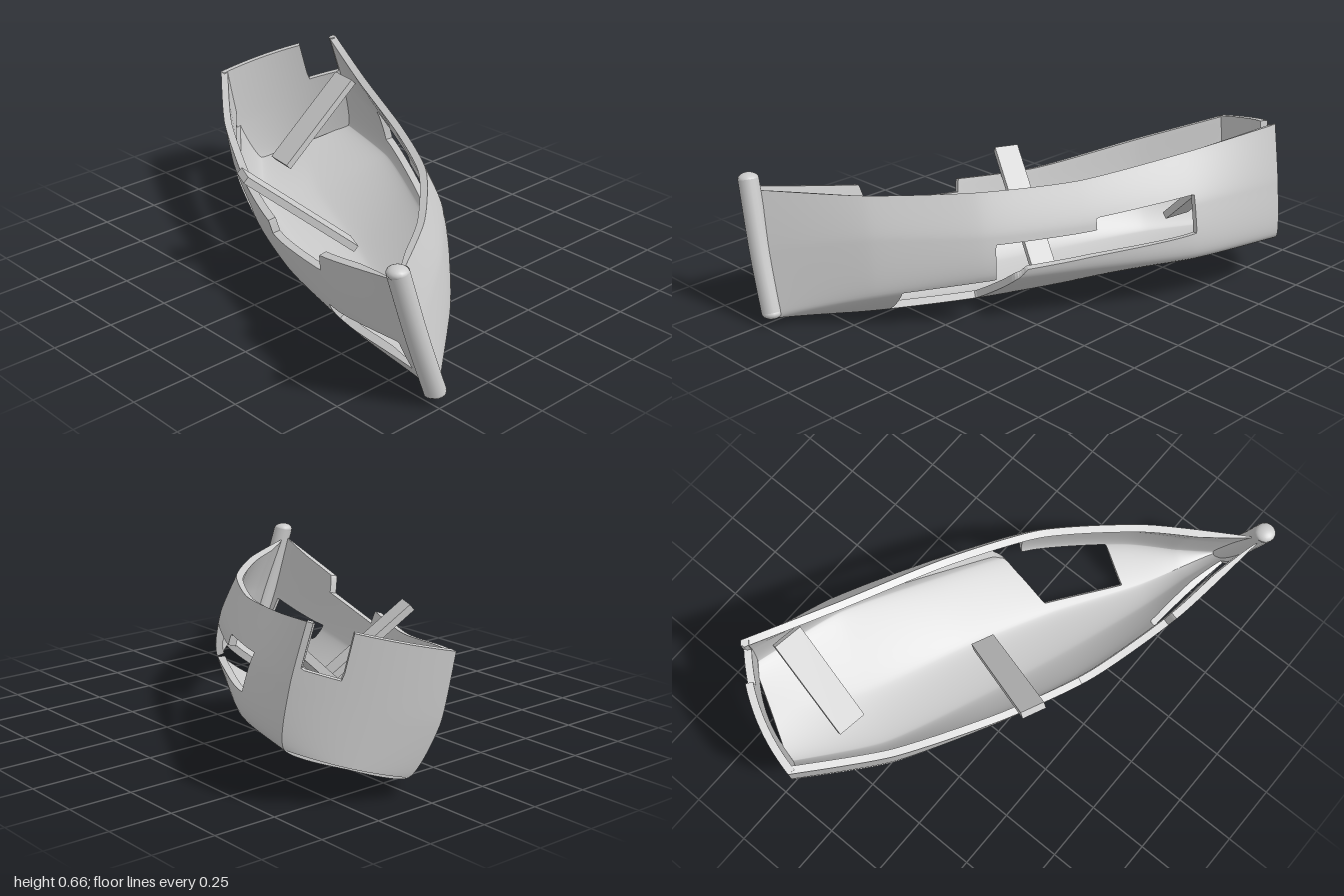
import * as THREE from 'three';

const material = new THREE.MeshStandardMaterial({ color: 0xcccccc, side: THREE.DoubleSide });

// Hull frame: s runs stern to bow, w runs across the boat, y is up
const place = (s, w, y) => new THREE.Vector3(0.87 * s - 0.49 * w, y, 0.49 * s + 0.87 * w);

// Heeled cross-sections: [w, y] from the back gunwale round the bottom to the front gunwale
const stations = [
  { s: -0.945, ring: [[-0.16, 0.66], [-0.22, 0.43], [-0.238, 0.21], [-0.02, 0.125], [0.2, 0.08], [0.31, 0.27], [0.36, 0.53]] },
  { s: -0.55, ring: [[-0.20, 0.595], [-0.30, 0.41], [-0.325, 0.2], [0, 0.06], [0.25, 0.05], [0.365, 0.2], [0.41, 0.44]] },
  { s: -0.1, ring: [[-0.245, 0.542], [-0.32, 0.38], [-0.325, 0.2], [-0.05, 0.027], [0.2, 0.035], [0.345, 0.16], [0.4, 0.36]] },
  { s: 0.3, ring: [[-0.23, 0.53], [-0.30, 0.37], [-0.31, 0.19], [-0.07, 0.012], [0.14, 0.03], [0.30, 0.16], [0.365, 0.36]] },
  { s: 0.7, ring: [[-0.11, 0.515], [-0.18, 0.36], [-0.215, 0.14], [-0.055, 0.006], [0.07, 0.03], [0.205, 0.18], [0.265, 0.42]] },
  { s: 1.08, ring: [[0.085, 0.505], [0.01, 0.29], [-0.06, 0.05], [-0.055, 0.033], [-0.005, 0.1], [0.055, 0.25], [0.12, 0.51]] },
];

// Spline through rows of numbers, t counted in rows; slack below 1 keeps it nearer to straight runs
function spline(rows, t, slack) {
  const last = rows.length - 1;
  const i = Math.min(Math.floor(t), last - 1), f = t - i;
  const a = rows[Math.max(i - 1, 0)], b = rows[i], c = rows[i + 1], d = rows[Math.min(i + 2, last)];
  const f2 = f * f, f3 = f2 * f;
  return b.map((_, k) => b[k] + (c[k] - b[k]) * (3 * f2 - 2 * f3)
    + 0.5 * slack * ((c[k] - a[k]) * (f3 - 2 * f2 + f) + (d[k] - b[k]) * (f3 - f2)));
}

const rows = stations.map(({ s, ring }) => [s, ...ring.flat()]);
const span = rows.length - 1;
function hullPoint(t, v) {
  const [s, ...flat] = spline(rows, t, 0.7);
  const ring = [];
  for (let i = 0; i < flat.length; i += 2) ring.push([flat[i], flat[i + 1]]);
  const [w, y] = spline(ring, v, 0.65);
  return place(s, w, Math.max(y, 0));
}

// Fraction of the hull's length at which s is reached
function lengthAt(s) {
  if (s < rows[0][0]) return -0.1;
  let lo = 0, hi = span;
  for (let i = 0; i < 24; i++) {
    const mid = (lo + hi) / 2;
    if (spline(rows, mid, 0.7)[0] < s) lo = mid; else hi = mid;
  }
  return lo / span;
}

// Broken openings as polygons of [s, ring position], turned into unit-square coordinates
const hullOpenings = [
  // back side, running down into the bottom
  [[-0.56, 0.78], [-0.15, 0.83], [-0.15, 1.15], [0.25, 1.2], [0.25, 1.95], [0.6, 2], [0.62, 2.85],
    [0.28, 2.8], [0.2, 2.3], [0.13, 1.75], [-0.56, 1.5]],
  // missing plank near the stern
  [[-1.2, 4.95], [-0.15, 5.05], [-0.15, 5.38], [-1.2, 5.27]],
  // missing plank near the bow
  [[0.65, 4.68], [1.035, 4.28], [1.035, 4.95], [0.65, 5.12]],
  // broken front gunwale
  [[0.25, 5.67], [0.66, 5.65], [0.71, 6.5], [0.23, 6.5]],
].map((poly) => poly.map(([s, v]) => [lengthAt(s), v / 6]));

// Notch in the transom by the back corner
const transomOpenings = [[[0.96, -0.5], [0.7, -0.5], [0.7, 0.34], [0.96, 0.34]]];

const inside = ([x, y], poly) => {
  let hit = false;
  poly.forEach(([ax, ay], i) => {
    const [bx, by] = poly[(i + 1) % poly.length];
    if ((ay > y) !== (by > y) && x < ax + ((y - ay) * (bx - ax)) / (by - ay)) hit = !hit;
  });
  return hit;
};

// Nearest point on the outlines of a set of polygons
function nearest([x, y], polys) {
  let best = Infinity, result;
  polys.forEach((poly) => poly.forEach(([ax, ay], i) => {
    const [bx, by] = poly[(i + 1) % poly.length];
    const dx = bx - ax, dy = by - ay;
    const f = THREE.MathUtils.clamp(((x - ax) * dx + (y - ay) * dy) / (dx * dx + dy * dy), 0, 1);
    const p = [ax + f * dx, ay + f * dy];
    const dist = Math.hypot(p[0] - x, p[1] - y);
    if (dist < best) { best = dist; result = p; }
  }));
  return result.map((c) => THREE.MathUtils.clamp(c, 0, 1));
}

// Thick sheet over the unit square with cut openings; every open edge is closed
function sheet(name, point, na, nb, openings, thickness) {
  const outer = [], inner = [], faces = [], rim = [];
  const id = (i, j) => i * (nb + 1) + j;
  const e = 0.002;
  const valid = (i, j) => i >= 0 && j >= 0 && i < na && j < nb;
  const kept = (i, j) => valid(i, j)
    && !openings.some((poly) => inside([(i + 0.5) / na, (j + 0.5) / nb], poly));
  for (let i = 0; i <= na; i++) {
    for (let j = 0; j <= nb; j++) {
      const around = [[i - 1, j - 1], [i, j - 1], [i - 1, j], [i, j]].filter((c) => valid(...c));
      const left = around.filter((c) => kept(...c)).length;
      // Points beside an opening slide onto its outline
      let [a, b] = [i / na, j / nb];
      if (left && left < around.length) {
        const [u, v] = nearest([a, b], openings);
        a = i % na ? u : a;
        b = j % nb ? v : b;
      }
      const p = point(a, b);
      const da = point(Math.min(a + e, 1), b).sub(point(Math.max(a - e, 0), b));
      const db = point(a, Math.min(b + e, 1)).sub(point(a, Math.max(b - e, 0)));
      outer.push(p);
      inner.push(p.clone().addScaledVector(da.cross(db).normalize(), -thickness(a)));
    }
  }
  const wall = (m, n) => rim.push(outer[m], inner[m], outer[n], outer[n], inner[m], inner[n]);
  const count = outer.length;
  for (let i = 0; i < na; i++) {
    for (let j = 0; j < nb; j++) {
      if (!kept(i, j)) continue;
      const a = id(i, j), b = id(i + 1, j), c = id(i + 1, j + 1), d = id(i, j + 1);
      faces.push(a, b, c, a, c, d);
      faces.push(count + a, count + c, count + b, count + a, count + d, count + c);
      if (!kept(i, j - 1)) wall(a, b);
      if (!kept(i + 1, j)) wall(b, c);
      if (!kept(i, j + 1)) wall(c, d);
      if (!kept(i - 1, j)) wall(d, a);
    }
  }
  const skin = new THREE.BufferGeometry().setFromPoints([...outer, ...inner]);
  skin.setIndex(faces);
  skin.computeVertexNormals();
  const edge = new THREE.BufferGeometry().setFromPoints(rim);
  edge.computeVertexNormals();
  const group = new THREE.Group();
  group.name = name;
  group.add(mesh(name + 'Skin', skin), mesh(name + 'Edges', edge));
  return group;
}

function mesh(name, geometry) {
  const m = new THREE.Mesh(geometry, material);
  m.name = name;
  return m;
}

// Flat board from one point to another, its width kept level
function board(name, from, to, width, thickness) {
  const m = mesh(name, new THREE.BoxGeometry(width, from.distanceTo(to), thickness));
  const along = to.clone().sub(from).normalize();
  const across = new THREE.Vector3(0, 1, 0).cross(along).normalize();
  m.quaternion.setFromRotationMatrix(
    new THREE.Matrix4().makeBasis(across, along, across.clone().cross(along)));
  m.position.copy(from).add(to).multiplyScalar(0.5);
  return m;
}

export function createModel() {
  const boat = new THREE.Group();
  boat.name = 'wreckedBoat';
  const V = (x, y, z) => new THREE.Vector3(x, y, z);

  // Hull shell, thinning into the bow
  boat.add(sheet('hull', (a, b) => hullPoint(a * span, b * 6), 180, 84, hullOpenings,
    (a) => 0.03 * Math.min(1, (1 - a) / 0.12 + 0.1)));

  // Bowed transom
  boat.add(sheet('transom', (a, q) => {
    const p = 1 - a;
    return hullPoint(0, 2 * q).lerp(hullPoint(0, 6 - 2 * q), p).add(place(-0.18 * p * (1 - p), 0, 0));
  }, 48, 24, transomOpenings, () => 0.03));

  // Stem post with rounded ends
  const stemPath = new THREE.CatmullRomCurve3([V(0.962, 0.05, 0.485), V(0.945, 0.28, 0.56), V(0.922, 0.55, 0.635)]);
  boat.add(mesh('stemPost', new THREE.TubeGeometry(stemPath, 16, 0.041, 16)));
  [stemPath.getPoint(0), stemPath.getPoint(1)].forEach((p) => {
    const cap = mesh('stemCap', new THREE.SphereGeometry(0.041, 16, 12));
    cap.position.copy(p);
    cap.scale.y = 0.6;
    boat.add(cap);
  });

  // Broken boards inside the hull
  boat.add(board('leaningBoard', V(-0.012, 0.08, -0.03), V(-0.2, 0.45, 0.38), 0.1, 0.03));
  boat.add(board('loosePlank', V(-0.645, 0.19, -0.19), V(-0.595, 0.515, -0.53), 0.125, 0.03));

  return boat;
}
